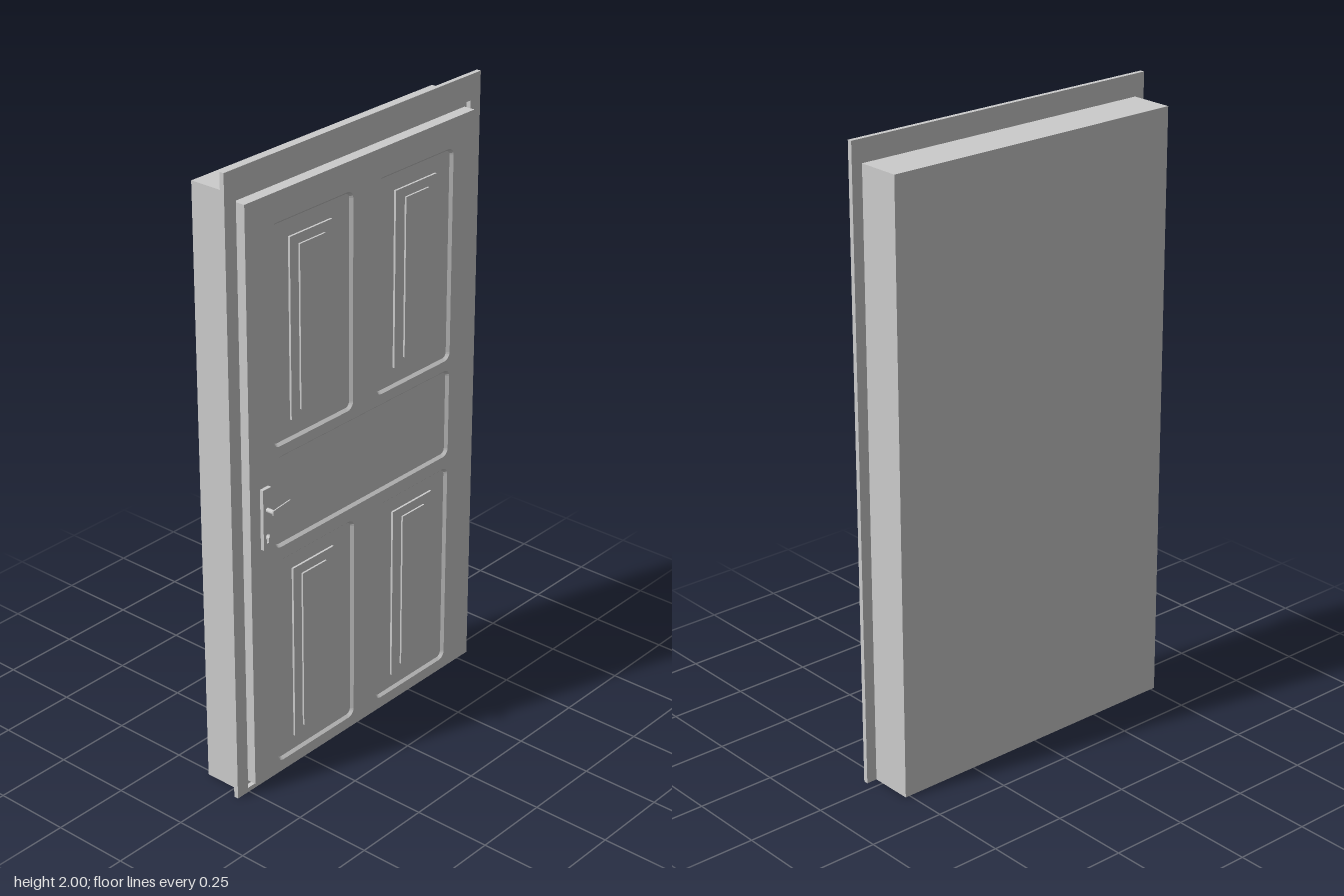
import * as THREE from 'three';

const mat = new THREE.MeshStandardMaterial({ color: 0xcccccc, flatShading: true });

function add(group, name, geometry) {
  const mesh = new THREE.Mesh(geometry, mat);
  mesh.name = name;
  group.add(mesh);
  return mesh;
}

// Box given by its limits on each axis
function box(x0, x1, y0, y1, z0, z1) {
  return new THREE.BoxGeometry(x1 - x0, y1 - y0, z1 - z0)
    .translate((x0 + x1) / 2, (y0 + y1) / 2, (z0 + z1) / 2);
}

// Counter-clockwise rectangle outline, with rounded corners when r > 0
function outline([x0, x1, y0, y1], r = 0, inset = 0) {
  const points = [];
  const corners = [[x1, y0, -1, 1], [x1, y1, -1, -1], [x0, y1, 1, -1], [x0, y0, 1, 1]];
  const steps = r ? 5 : 0;
  corners.forEach(([x, y, sx, sy], i) => {
    for (let k = 0; k <= steps; k++) {
      const a = (i - 1 + (steps ? k / steps : 0)) * Math.PI / 2;
      const rr = r ? r - inset : 0;
      points.push(new THREE.Vector2(x + sx * r + rr * Math.cos(a), y + sy * r + rr * Math.sin(a)));
    }
  });
  return points;
}

function extrude(points, holes, z0, z1) {
  const shape = new THREE.Shape(points);
  shape.holes = holes.map((h) => new THREE.Path(h));
  return new THREE.ExtrudeGeometry(shape, { depth: z1 - z0, bevelEnabled: false }).translate(0, 0, z0);
}

// Sloping moulding between two matching outlines, facing the front
function slope(outer, inner, zOuter, zInner) {
  const pos = [];
  const n = outer.length;
  for (let i = 0; i < n; i++) {
    const j = (i + 1) % n;
    const a = [outer[i].x, outer[i].y, zOuter], b = [outer[j].x, outer[j].y, zOuter];
    const c = [inner[j].x, inner[j].y, zInner], d = [inner[i].x, inner[i].y, zInner];
    pos.push(...a, ...b, ...c, ...a, ...c, ...d);
  }
  const g = new THREE.BufferGeometry();
  g.setAttribute('position', new THREE.Float32BufferAttribute(pos, 3));
  g.computeVertexNormals();
  return g;
}

export function createModel() {
  const door = new THREE.Group();
  door.name = 'door';

  // Deep lining behind and flat casing around the leaf
  add(door, 'lining', box(-0.515, 0.515, 0, 1.93, -0.11, 0.03));
  add(door, 'casing', extrude(outline([-0.55, 0.55, 0, 2]),
    [outline([-0.505, 0.505, 0.015, 1.92])], 0.03, 0.045));

  // Leaf with five rounded recesses
  const front = 0.068, floor = 0.059;
  const recesses = [
    { rect: [-0.395, -0.05, 1.125, 1.81], raised: [-0.315, -0.137, 1.187, 1.75], field: [-0.28, -0.173, 1.21, 1.72] },
    { rect: [0.055, 0.4, 1.125, 1.81], raised: [0.14, 0.325, 1.187, 1.75], field: [0.18, 0.285, 1.21, 1.72] },
    { rect: [-0.395, 0.4, 0.797, 1.092] },
    { rect: [-0.395, -0.045, 0.06, 0.755], raised: [-0.315, -0.135, 0.115, 0.7], field: [-0.28, -0.173, 0.14, 0.67] },
    { rect: [0.06, 0.4, 0.06, 0.755], raised: [0.14, 0.325, 0.115, 0.7], field: [0.18, 0.285, 0.14, 0.67] },
  ];
  const radius = 0.024;
  const leaf = new THREE.Group();
  leaf.name = 'leaf';
  door.add(leaf);
  add(leaf, 'leafCore', box(-0.497, 0.495, 0.035, 1.9, 0.03, floor));
  add(leaf, 'leafFace', extrude(outline([-0.497, 0.495, 0.035, 1.9]),
    recesses.map((p) => outline(p.rect, radius)), floor, front));

  // Mouldings and stepped raised panels
  for (const { rect, raised, field } of recesses) {
    add(leaf, 'panelMoulding', slope(outline(rect, radius), outline(rect, radius, 0.008), front, floor));
    if (!raised) continue;
    add(leaf, 'raisedPanel', box(...raised, floor, 0.066));
    add(leaf, 'panelField', box(...field, 0.066, 0.072));
  }

  // Lock plate with a keyhole
  const handle = new THREE.Group();
  handle.name = 'handle';
  door.add(handle);
  const kx = -0.438, ky = 0.865, kr = 0.009;
  const keyhole = [];
  for (let i = 0; i <= 12; i++) {
    const a = (-60 + 300 * i / 12) * Math.PI / 180;
    keyhole.push(new THREE.Vector2(kx + kr * Math.cos(a), ky + kr * Math.sin(a)));
  }
  keyhole.push(new THREE.Vector2(kx - 0.0045, ky - 0.022), new THREE.Vector2(kx + 0.0045, ky - 0.022));
  add(handle, 'lockPlate', extrude(outline([-0.455, -0.421, 0.825, 1.02]), [keyhole], front, 0.08));

  // Spindle and slightly slanted lever
  add(handle, 'spindle', new THREE.CylinderGeometry(0.007, 0.007, 0.026, 12)
    .rotateX(Math.PI / 2).translate(-0.438, 0.952, 0.092));
  const lever = add(handle, 'lever', new THREE.BoxGeometry(0.084, 0.016, 0.004));
  lever.position.set(-0.402, 0.952, 0.102);
  lever.rotation.y = 0.12;

  return door;
}
